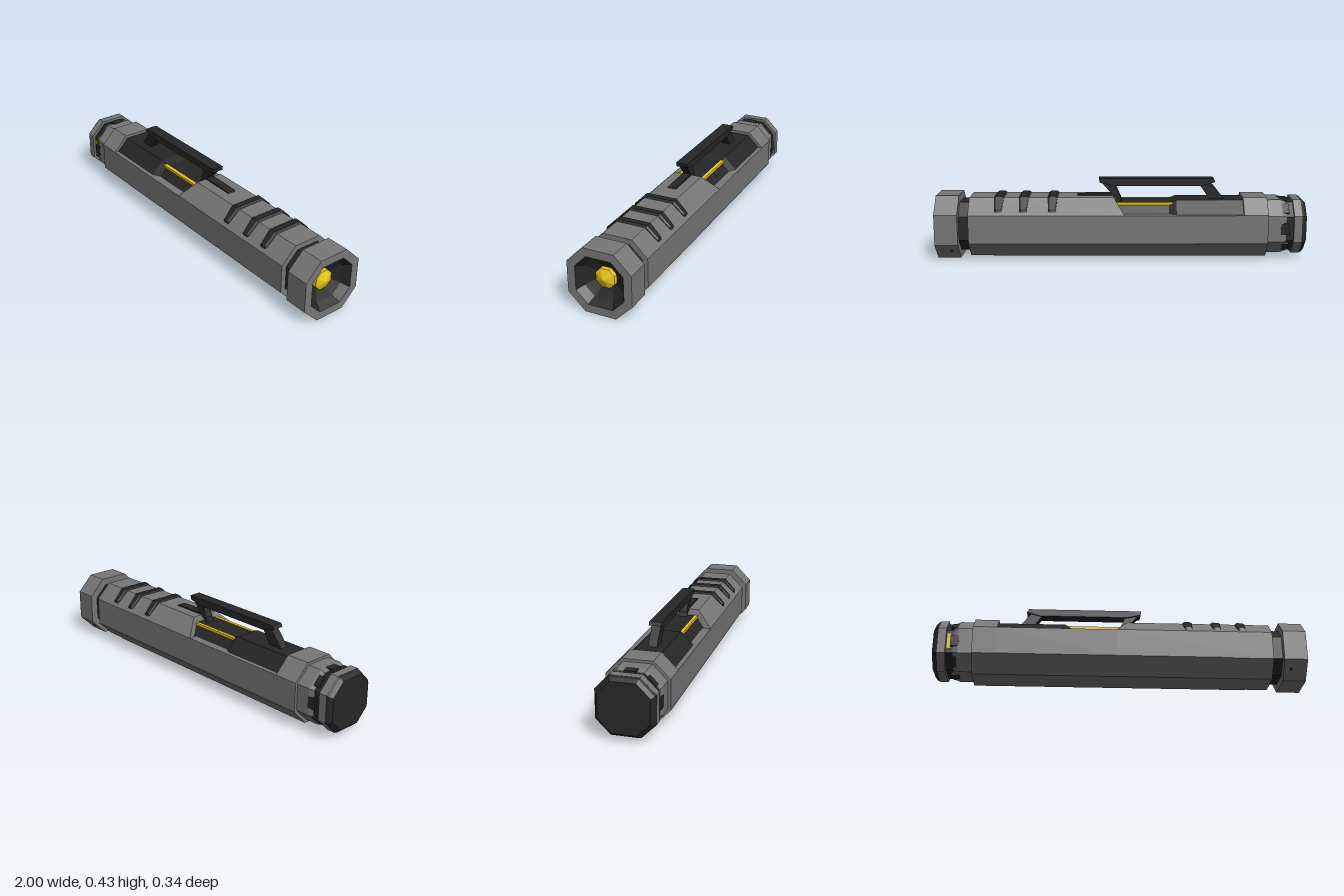
import * as THREE from 'three';

const CY = 0.172; // height of the long axis

// Octagonal section: flat half-size h, half face width f; order runs from +y towards +z.
// xs gives x for the [top, upper side, lower side, bottom] corners, or one x for all.
function oct(xs, h, f = h * 0.485) {
  const [t, u, l, b] = Array.isArray(xs) ? xs : [xs, xs, xs, xs];
  return [
    [t, CY + h, f], [u, CY + f, h], [l, CY - f, h], [b, CY - h, f],
    [b, CY - h, -f], [l, CY - f, -h], [u, CY + f, -h], [t, CY + h, -f],
  ];
}

// Skin a list of sections; optional flat caps at both ends.
function loft(rings, capStart = true, capEnd = true) {
  const pos = [];
  const tri = (a, b, c) => pos.push(...a, ...b, ...c);
  const mid = (r) => [0, 1, 2].map((k) => r.reduce((s, p) => s + p[k], 0) / r.length);
  const n = rings[0].length;
  for (let j = 0; j < rings.length - 1; j++) {
    const A = rings[j], B = rings[j + 1];
    for (let i = 0; i < n; i++) {
      const k = (i + 1) % n;
      tri(A[i], A[k], B[k]);
      tri(A[i], B[k], B[i]);
    }
  }
  const first = rings[0], last = rings[rings.length - 1];
  for (let i = 0; i < n; i++) {
    const k = (i + 1) % n;
    if (capStart) tri(mid(first), first[k], first[i]);
    if (capEnd) tri(mid(last), last[i], last[k]);
  }
  const g = new THREE.BufferGeometry();
  g.setAttribute('position', new THREE.Float32BufferAttribute(pos, 3));
  g.computeVertexNormals();
  return g;
}

// Side profile in x/y given a width in z.
function plate(points, width) {
  const shape = new THREE.Shape(points.map(([x, y]) => new THREE.Vector2(x, y)));
  return new THREE.ExtrudeGeometry(shape, { depth: width, bevelEnabled: false })
    .translate(0, 0, -width / 2);
}

export function createModel() {
  const root = new THREE.Group();
  root.name = 'flashlight';
  const material = (name, color) => {
    const m = new THREE.MeshStandardMaterial({ color });
    m.name = name;
    return m;
  };
  const gray = material('gray metal', 0x777777);
  const dark = material('dark rubber', 0x262626);
  const yellow = material('yellow light', 0xe6c814);
  const add = (name, geometry, mat, parent = root) => {
    const mesh = new THREE.Mesh(geometry, mat);
    mesh.name = name;
    parent.add(mesh);
    return mesh;
  };

  // Body: rear collar, open lower tray and front barrel with a slanted rear edge
  add('rearCollar', loft([oct(-0.79, 0.161), oct(-0.66, 0.161)]), gray);
  const tray = (x) => [
    [x, 0.25, 0.161], [x, 0.094, 0.161], [x, 0.011, 0.078],
    [x, 0.011, -0.078], [x, 0.094, -0.161], [x, 0.25, -0.161],
  ];
  add('lowerTray', loft([tray(-0.66), tray(-0.02)]), gray);
  add('frontBarrel', loft([oct([0.04, -0.02, -0.02, -0.02], 0.161), oct(0.82, 0.161)]), gray);

  // Raised lower shell with a slanted front end
  const shell = (side, bottom) => [
    [side, 0.096, 0.163], [bottom, 0.009, 0.08], [bottom, 0.009, -0.08], [side, 0.096, -0.163],
  ];
  add('lowerShell', loft([shell(-0.79, -0.79), shell(0.6, 0.7)]), gray);

  // Dark inner core showing through the opening, with two light strips
  add('innerCore', loft([
    oct(-0.67, 0.145), oct(-0.3, 0.145), oct(-0.26, 0.13), oct(0.03, 0.13),
  ]), dark);
  for (const s of [1, -1]) {
    add('lightStrip', new THREE.BoxGeometry(0.31, 0.014, 0.018)
      .translate(-0.13, 0.298, s * 0.068), yellow);
  }

  // Grip ridges wrapped over the upper three faces
  const ridgePath = [
    [-0.148, 0.258, 0.014], [-0.142, 0.282, 0.02], [-0.083, 0.341, 0.027],
    [0.083, 0.341, 0.027], [0.142, 0.282, 0.02], [0.148, 0.258, 0.014],
  ];
  for (const x of [0.37, 0.525, 0.66]) {
    const rings = ridgePath.map(([z, y, w]) => [
      [x - w, y - 0.008, z], [x - w * 0.6, y, z], [x + w * 0.6, y, z], [x + w, y - 0.008, z],
      [x + w, y - 0.05, z * 0.8], [x - w, y - 0.05, z * 0.8],
    ].reverse());
    add('gripRidge', loft(rings), dark);
  }

  // Neck and hollow head
  add('neck', loft([oct(0.81, 0.133), oct(0.885, 0.133)]), dark);
  add('head', loft([
    oct(0.875, 0.13), oct(0.875, 0.172, 0.083), oct(1, 0.172, 0.083), oct(1, 0.129, 0.066),
  ], true, false), gray);
  add('reflector', loft([
    oct(1, 0.129, 0.066), oct(0.96, 0.104, 0.052), oct(0.92, 0.045, 0.021),
  ], false, true), dark);
  add('bulb', loft([
    oct(0.915, 0.052, 0.023), oct(0.945, 0.05, 0.022), oct(0.965, 0.004),
  ]), yellow);
  for (const s of [1, -1]) {
    const pin = add('headPin', new THREE.BoxGeometry(0.014, 0.016, 0.006), dark);
    pin.position.set(0.915, 0.05, s * 0.132);
    pin.rotation.x = s * Math.PI / 4;
  }

  // Tail: gray ring, dark groove, gray cap band and dark chamfered end
  add('tailRing', loft([oct(-0.89, 0.138), oct(-0.865, 0.147), oct(-0.78, 0.147)]), gray);
  add('tailGroove', loft([oct(-0.94, 0.134), oct(-0.88, 0.134)]), dark);
  add('tailBand', loft([oct(-0.972, 0.149), oct(-0.93, 0.149)]), gray);
  add('tailEnd', loft([oct(-1, 0.128), oct(-0.985, 0.143), oct(-0.971, 0.149)]), dark);
  for (let i = 0; i < 8; i++) {
    const pivot = new THREE.Group();
    pivot.name = 'tailTab';
    pivot.position.y = CY;
    pivot.rotation.x = i * Math.PI / 4;
    add('tab', new THREE.BoxGeometry(0.045, 0.016, 0.06)
      .translate(-0.883, i % 2 ? 0.144 : 0.14, 0), dark, pivot);
    root.add(pivot);
  }
  add('tailLight', new THREE.BoxGeometry(0.018, 0.09, 0.008).translate(-0.915, 0.172, 0.136), yellow);

  // Pocket clip: top bar, two slanted legs and mounting feet
  const clip = new THREE.Group();
  clip.name = 'clip';
  root.add(clip);
  add('clipBar', plate([
    [-0.515, 0.41], [-0.44, 0.388], [0.04, 0.388], [0.115, 0.405], [0.12, 0.428], [-0.505, 0.428],
  ], 0.064), dark, clip);
  add('rearLeg', plate([
    [-0.57, 0.305], [-0.49, 0.305], [-0.43, 0.392], [-0.49, 0.405],
  ], 0.046), dark, clip);
  add('frontLeg', plate([
    [-0.01, 0.295], [0.04, 0.33], [0.1, 0.4], [0.03, 0.392],
  ], 0.046), dark, clip);
  add('frontFoot', plate([
    [0.0, 0.325], [0.245, 0.325], [0.235, 0.339], [0.03, 0.343],
  ], 0.046), dark, clip);
  return root;
}
